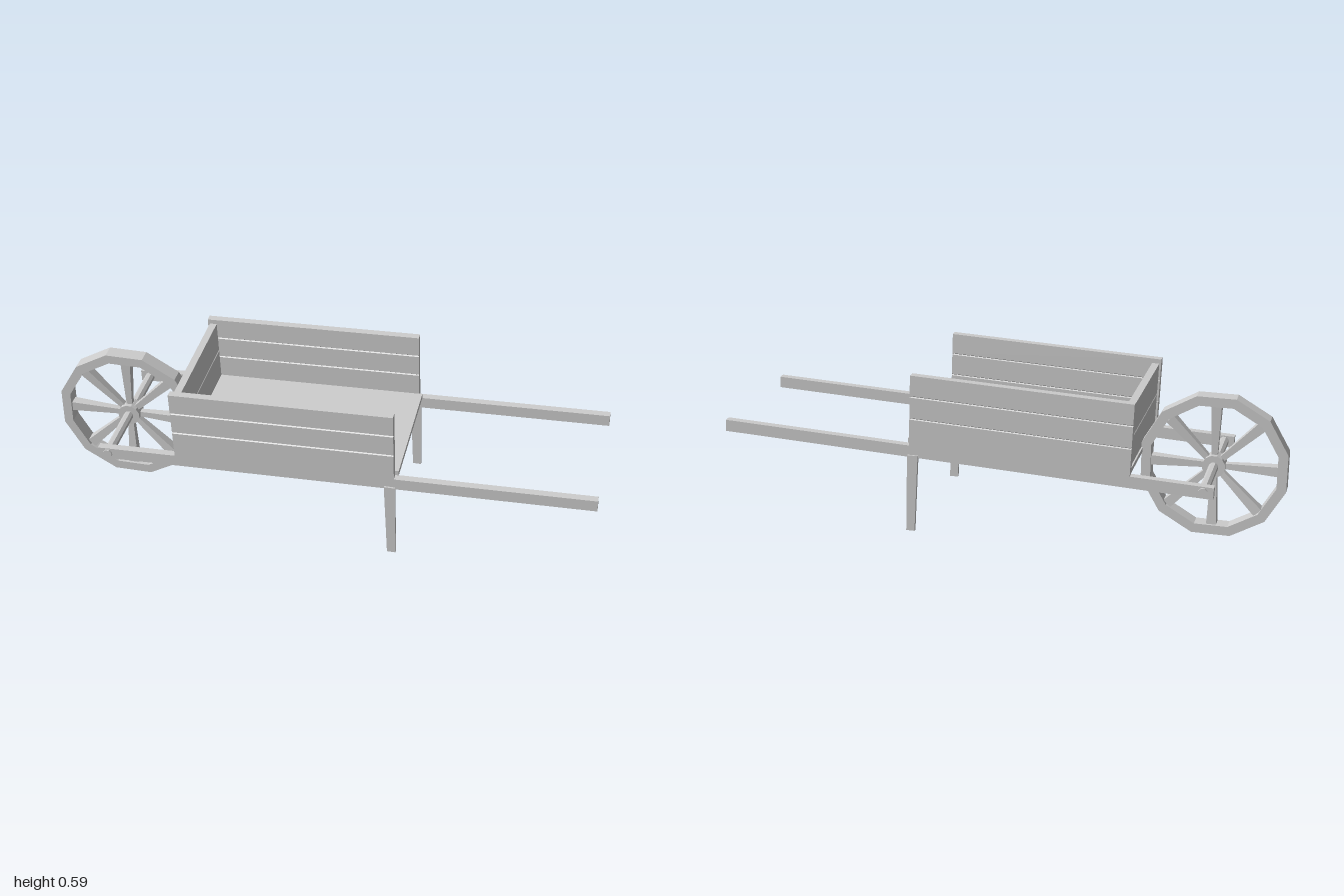
import * as THREE from 'three';

const timber = new THREE.MeshStandardMaterial({ color: 0xcccccc });
timber.name = 'pale grey timber';

export function createModel() {
  const root = new THREE.Group();
  root.name = 'wheelbarrow';

  const add = (parent, name, geometry, x = 0, y = 0, z = 0) => {
    // unshared vertices give crisp facets
    const g = geometry.index ? geometry.toNonIndexed() : geometry;
    g.computeVertexNormals();
    const mesh = new THREE.Mesh(g, timber);
    mesh.name = name;
    mesh.position.set(x, y, z);
    parent.add(mesh);
    return mesh;
  };

  const polygon = (sides, apothem) => {
    const r = apothem / Math.cos(Math.PI / sides);
    return Array.from({ length: sides }, (_, i) => {
      const a = (i + 0.5) * Math.PI * 2 / sides;
      return new THREE.Vector2(r * Math.cos(a), r * Math.sin(a));
    });
  };

  const extrude = (shape, depth) => {
    const g = new THREE.ExtrudeGeometry(shape, { depth, bevelEnabled: false });
    return g.translate(0, 0, -depth / 2);
  };

  // Board wall with narrow V grooves between planks, section centred on x = 0
  const boardWall = (thickness, bottom, top, grooves, length) => {
    const h = thickness / 2, cut = 0.004, gap = 0.003;
    const right = [[h, bottom]];
    for (const y of grooves) right.push([h, y - gap], [h - cut, y], [h, y + gap]);
    right.push([h, top]);
    const left = right.map(([x, y]) => [-x, y]).reverse();
    const points = [...right, ...left].map(([x, y]) => new THREE.Vector2(x, y));
    return extrude(new THREE.Shape(points), length);
  };

  // Wheel: twelve-sided rim, hub and eight flared spokes
  const wheel = new THREE.Group();
  wheel.name = 'wheel';
  wheel.position.set(-0.744, 0.263, 0);
  root.add(wheel);
  const rim = new THREE.Shape(polygon(12, 0.257));
  rim.holes.push(new THREE.Path(polygon(12, 0.223).reverse()));
  add(wheel, 'rim', extrude(rim, 0.054));
  add(wheel, 'hub', extrude(new THREE.Shape(polygon(12, 0.04)), 0.05));
  for (let i = 0; i < 8; i++) {
    const spoke = new THREE.CylinderGeometry(0.018 * Math.SQRT2, 0.01 * Math.SQRT2, 0.196, 4)
      .rotateY(Math.PI / 4).translate(0, 0.13, 0).rotateZ(i * Math.PI / 4);
    add(wheel, 'spoke', spoke);
  }
  add(wheel, 'axle', extrude(new THREE.Shape(polygon(8, 0.016)), 0.54));

  // Gently tilted body; its local origin is the lower front end of the rails
  const body = new THREE.Group();
  body.name = 'body';
  body.position.set(-0.779, 0.239, 0);
  body.rotation.z = 0.0395;
  root.add(body);

  add(body, 'floor', new THREE.BoxGeometry(0.803, 0.018, 0.474), 0.692, 0.052, 0);
  add(body, 'frontBoard', boardWall(0.026, 0.043, 0.287, [0.171], 0.472), 0.309, 0, 0);

  for (const side of [-1, 1]) {
    const z = side * 0.249;
    add(body, 'handleRail', new THREE.BoxGeometry(1.78, 0.043, 0.027), 0.89, 0.0215, z);
    const wall = boardWall(0.027, 0.043, 0.304, [0.144, 0.226], 0.792).rotateY(Math.PI / 2);
    add(body, 'sideBoards', wall, 0.685, 0, z);

    // Tapered leg fixed to the outside of the rail
    const leg = new THREE.Shape([[0.284, 0], [0.315, 0], [0.305, 0.29], [0.266, 0.29]]
      .map(([x, y]) => new THREE.Vector2(x, y)));
    add(root, 'leg', extrude(leg, 0.012), 0, 0, side * 0.263);
  }
  return root;
}
